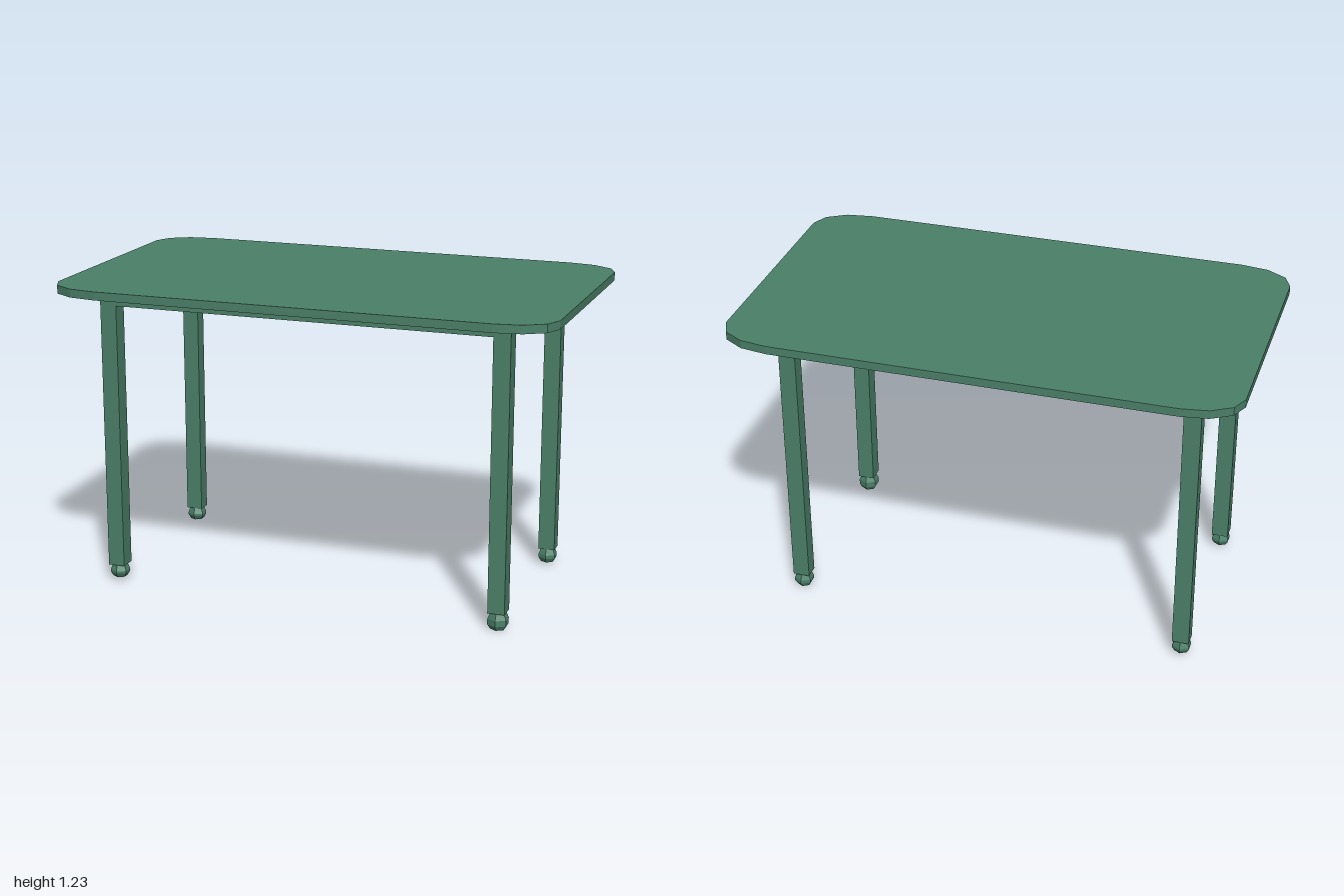
import * as THREE from 'three';

export function createModel() {
  const group = new THREE.Group();
  const material = new THREE.MeshStandardMaterial({ color: 0x4a8068, flatShading: true });

  function add(name, geometry, x = 0, y = 0, z = 0) {
    const mesh = new THREE.Mesh(geometry, material);
    mesh.name = name;
    mesh.position.set(x, y, z);
    group.add(mesh);
  }

  // Box given by its limits on each axis
  function addBox(name, [x0, x1], [y0, y1], [z0, z1]) {
    add(name, new THREE.BoxGeometry(x1 - x0, y1 - y0, z1 - z0),
      (x0 + x1) / 2, (y0 + y1) / 2, (z0 + z1) / 2);
  }

  // Tabletop: a slab with faceted rounded corners
  const corner = [[1, 0.453], [0.97, 0.52], [0.892, 0.567], [0.785, 0.583]];
  const outline = [];
  for (const [sx, sz] of [[1, 1], [-1, 1], [-1, -1], [1, -1]]) {
    const points = corner.map(([x, z]) => new THREE.Vector2(x * sx, z * sz));
    outline.push(...(sx * sz > 0 ? points : points.reverse()));
  }
  const slab = new THREE.ExtrudeGeometry(new THREE.Shape(outline), { depth: 0.033, bevelEnabled: false });
  slab.rotateX(-Math.PI / 2);
  add('tabletop', slab, 0, 1.195, 0);

  // Limits of the legs on each axis
  const right = [-0.837, -0.77], left = [0.746, 0.813];
  const front = [0.355, 0.423], back = [-0.41, -0.352];
  const apronY = [1.14, 1.195];

  // Legs with six-sided feet; the feet differ slightly in height
  const legs = [
    ['frontLeft', left, front, 0, 0.042],
    ['frontRight', right, front, 0.015, 0.039],
    ['backLeft', left, back, 0.01, 0.039],
    ['backRight', right, back, 0.015, 0.039],
  ];
  for (const [name, xs, zs, bottom, radius] of legs) {
    addBox(name + 'Leg', xs, [0.068, 1.195], zs);
    const profile = [
      [0, bottom], [radius * 0.72, bottom], [radius, bottom + 0.018],
      [radius, 0.042], [radius * 0.7, 0.07], [0, 0.07],
    ].map(([r, y]) => new THREE.Vector2(r, y));
    add(name + 'Foot', new THREE.LatheGeometry(profile, 6),
      (xs[0] + xs[1]) / 2, 0, (zs[0] + zs[1]) / 2);
  }

  // Apron rails between the legs
  addBox('frontRail', [right[1], left[0]], apronY, front);
  addBox('backRail', [right[1], left[0]], apronY, back);
  addBox('leftRail', left, apronY, [back[1], front[0]]);
  addBox('rightRail', right, apronY, [back[1], front[0]]);

  return group;
}
